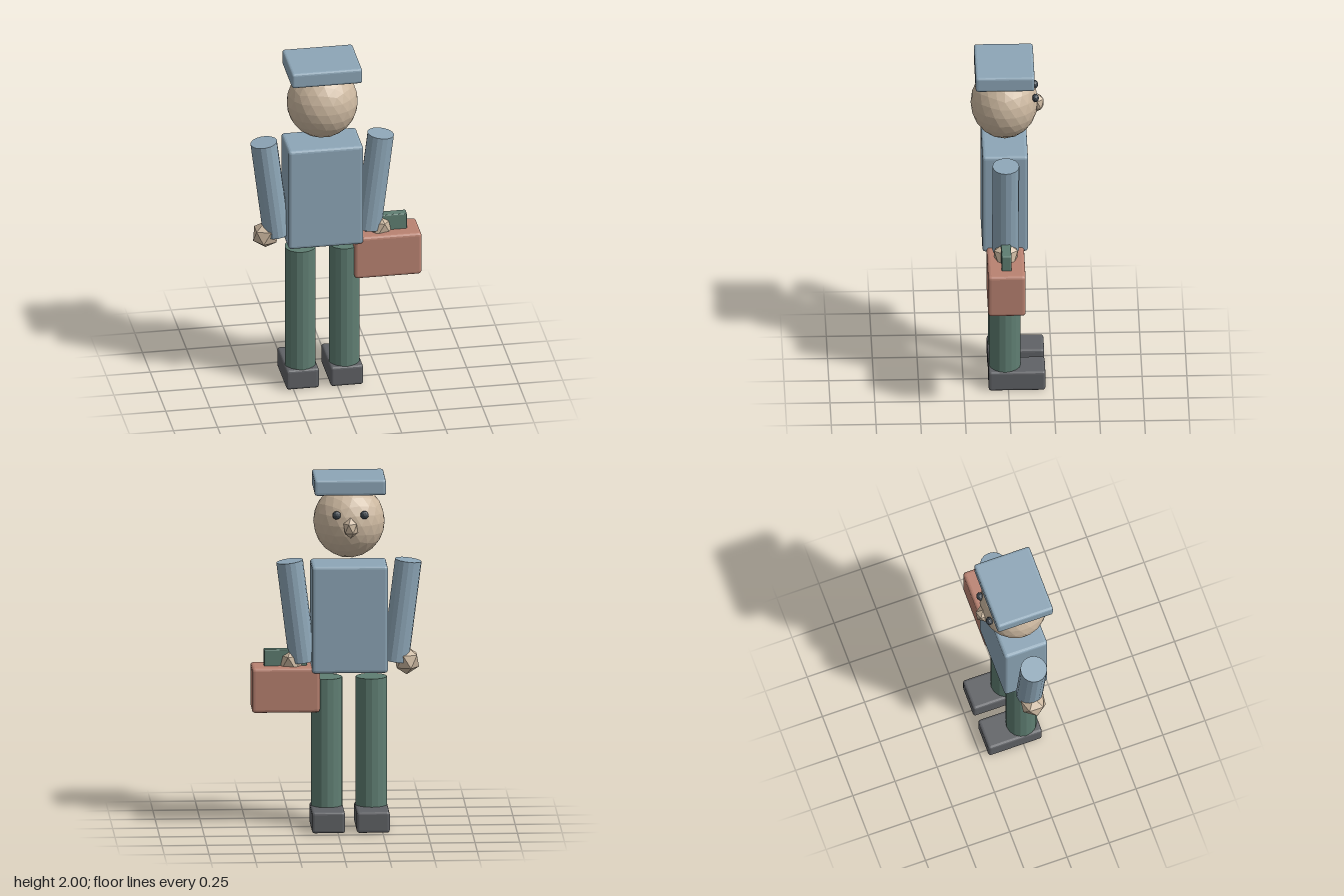
import * as THREE from 'three';
import { RoundedBoxGeometry } from 'three/addons/geometries/RoundedBoxGeometry.js';

const CX = -0.072; // body midline
const CZ = 0.018;

function material(name, color, flatShading = true) {
  const m = new THREE.MeshStandardMaterial({ color, flatShading });
  m.name = name;
  return m;
}

export function createModel() {
  const root = new THREE.Group();
  root.name = 'standingFigureWithCase';

  const blue = material('jacketBlue', 0x8da6b7);
  const skin = material('skin', 0xccb8a0);
  const green = material('trouserGreen', 0x5f7e72);
  const red = material('caseRed', 0xb98271);
  const grey = material('shoeGrey', 0x606266);
  const dark = material('eyeDark', 0x3b434a);

  function add(name, geometry, mat, x, y, z) {
    const mesh = new THREE.Mesh(geometry, mat);
    mesh.name = name;
    mesh.position.set(x, y, z);
    root.add(mesh);
    return mesh;
  }

  // Box with softened edges, given by its size and centre
  function softBox(name, mat, [w, h, d], [x, y, z], bevel = 0.018) {
    return add(name, new RoundedBoxGeometry(w, h, d, 2, bevel), mat, x, y, z);
  }

  // Faceted ball with a vertex at each pole
  function ball(name, mat, detail, [rx, ry, rz], [x, y, z]) {
    const g = new THREE.IcosahedronGeometry(1, detail);
    g.rotateZ(-Math.atan(2 / (1 + Math.sqrt(5))));
    g.scale(rx, ry, rz);
    return add(name, g, mat, x, y, z);
  }

  // Torso, head and flat cap
  softBox('torso', blue, [0.425, 0.61, 0.255], [CX, 1.195, CZ]);
  ball('head', skin, 3, [0.2, 0.208, 0.188], [CX, 1.738, 0.018]);
  softBox('cap', blue, [0.4, 0.09, 0.33], [CX, 1.955, 0.018], 0.015);
  ball('nose', skin, 0, [0.045, 0.058, 0.045], [CX, 1.73, -0.164]);

  for (const side of [-1, 1]) {
    const label = side > 0 ? 'left' : 'right';

    ball(label + 'Eye', dark, 1, [0.024, 0.024, 0.02], [CX + side * 0.078, 1.802, -0.154]);

    // Arm leans outward toward the shoulder
    const arm = add(label + 'Arm', new THREE.CylinderGeometry(0.075, 0.075, 0.575, 16),
      blue, CX + side * 0.296, 1.225, CZ);
    arm.rotation.z = -side * 0.125;
    ball(label + 'Hand', skin, 0, [0.078, 0.08, 0.078], [CX + side * 0.322, 0.938, CZ]);

    // Leg and shoe
    const legX = CX + side * 0.125;
    add(label + 'Leg', new THREE.CylinderGeometry(0.0875, 0.0875, 0.75, 16),
      green, legX, 0.475, CZ);
    softBox(label + 'Shoe', grey, [0.185, 0.12, 0.317], [legX, 0.06, -0.048], 0.015);
  }

  // Carried case with its handle
  softBox('case', red, [0.38, 0.255, 0.21], [0.285, 0.792, CZ]);
  softBox('caseHandle', green, [0.24, 0.1, 0.055], [0.285, 0.962, CZ], 0.008);

  return root;
}
